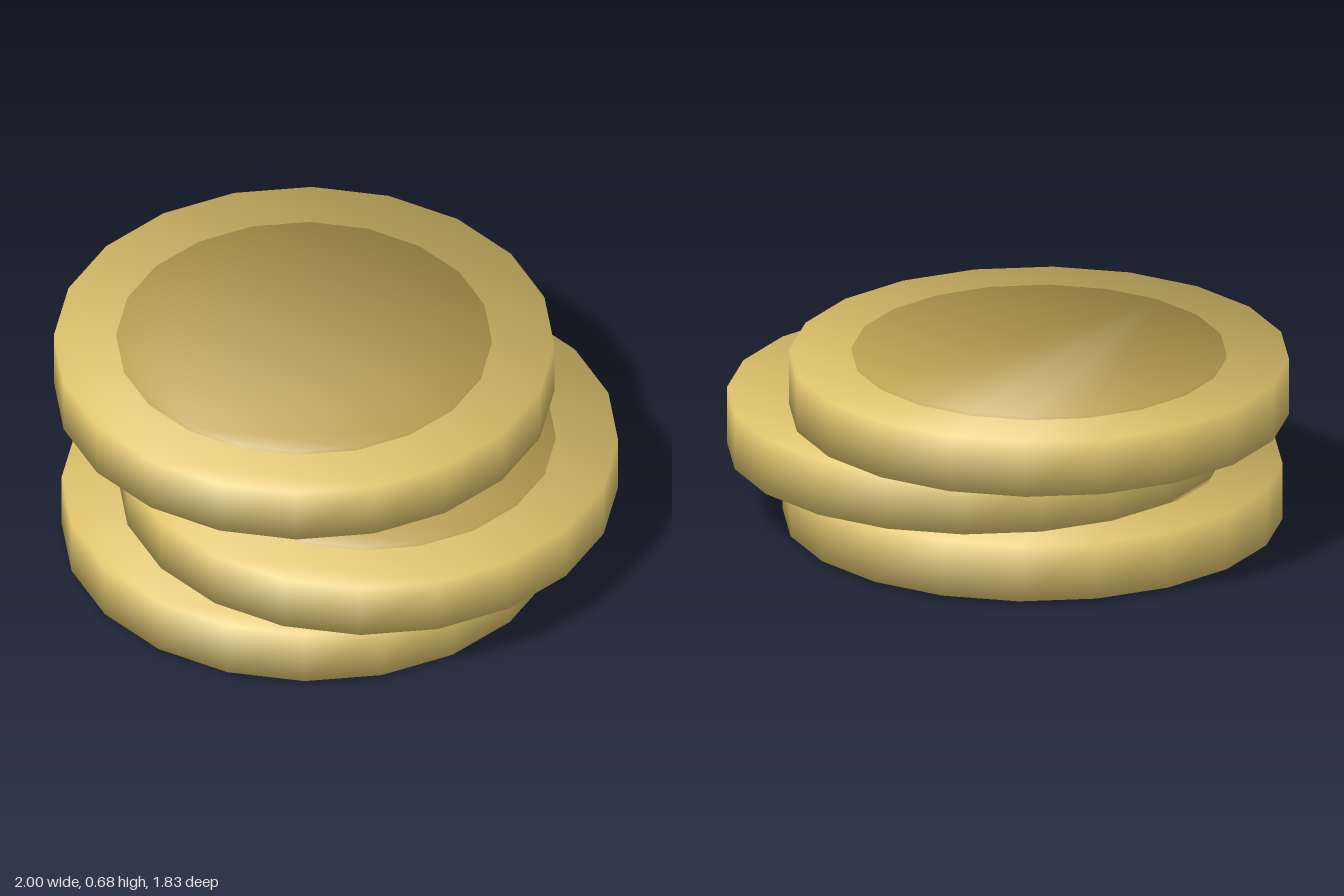
import * as THREE from 'three';

const SIDES = 20;

// Closed disc with softened normals that lean outwards at both edges
function discGeometry(radius, height) {
  const positions = [], normals = [], index = [];
  const lean = Math.SQRT1_2;
  for (const end of [-1, 1]) {
    for (let i = 0; i < SIDES; i++) {
      const a = (i / SIDES) * Math.PI * 2;
      const s = Math.sin(a), c = Math.cos(a);
      positions.push(radius * s, end * height / 2, radius * c);
      normals.push(lean * s, lean * end, lean * c);
    }
  }
  for (let i = 0; i < SIDES; i++) {
    const j = (i + 1) % SIDES;
    // Wall
    index.push(i, j, SIDES + j, i, SIDES + j, SIDES + i);
    // Bottom and top caps
    if (i > 0 && j > 0) {
      index.push(0, j, i, SIDES, SIDES + i, SIDES + j);
    }
  }
  const geometry = new THREE.BufferGeometry();
  geometry.setAttribute('position', new THREE.Float32BufferAttribute(positions, 3));
  geometry.setAttribute('normal', new THREE.Float32BufferAttribute(normals, 3));
  geometry.setIndex(index);
  return geometry;
}

export function createModel() {
  const gold = new THREE.MeshStandardMaterial({ color: 0xdfc36c });
  gold.name = 'gold';
  const darkGold = new THREE.MeshStandardMaterial({ color: 0xbfa354 });
  darkGold.name = 'dark gold';

  const rimGeometry = discGeometry(0.843, 0.197);
  const faceGeometry = discGeometry(0.632, 0.225);

  const model = new THREE.Group();
  model.name = 'coinStack';

  // Coins from bottom to top, each shifted sideways: [name, x, z]
  const coins = [
    ['bottomCoin', -0.015, 0.07],
    ['middleCoin', 0.157, -0.016],
    ['topCoin', -0.157, -0.07],
  ];
  coins.forEach(([name, x, z], i) => {
    const coin = new THREE.Group();
    coin.name = name;
    coin.position.set(x, 0.1125 + i * 0.225, z);

    const rim = new THREE.Mesh(rimGeometry, gold);
    rim.name = 'rim';
    // Raised centre, showing on both sides of the rim
    const face = new THREE.Mesh(faceGeometry, darkGold);
    face.name = 'raisedFace';

    coin.add(rim, face);
    model.add(coin);
  });
  return model;
}
